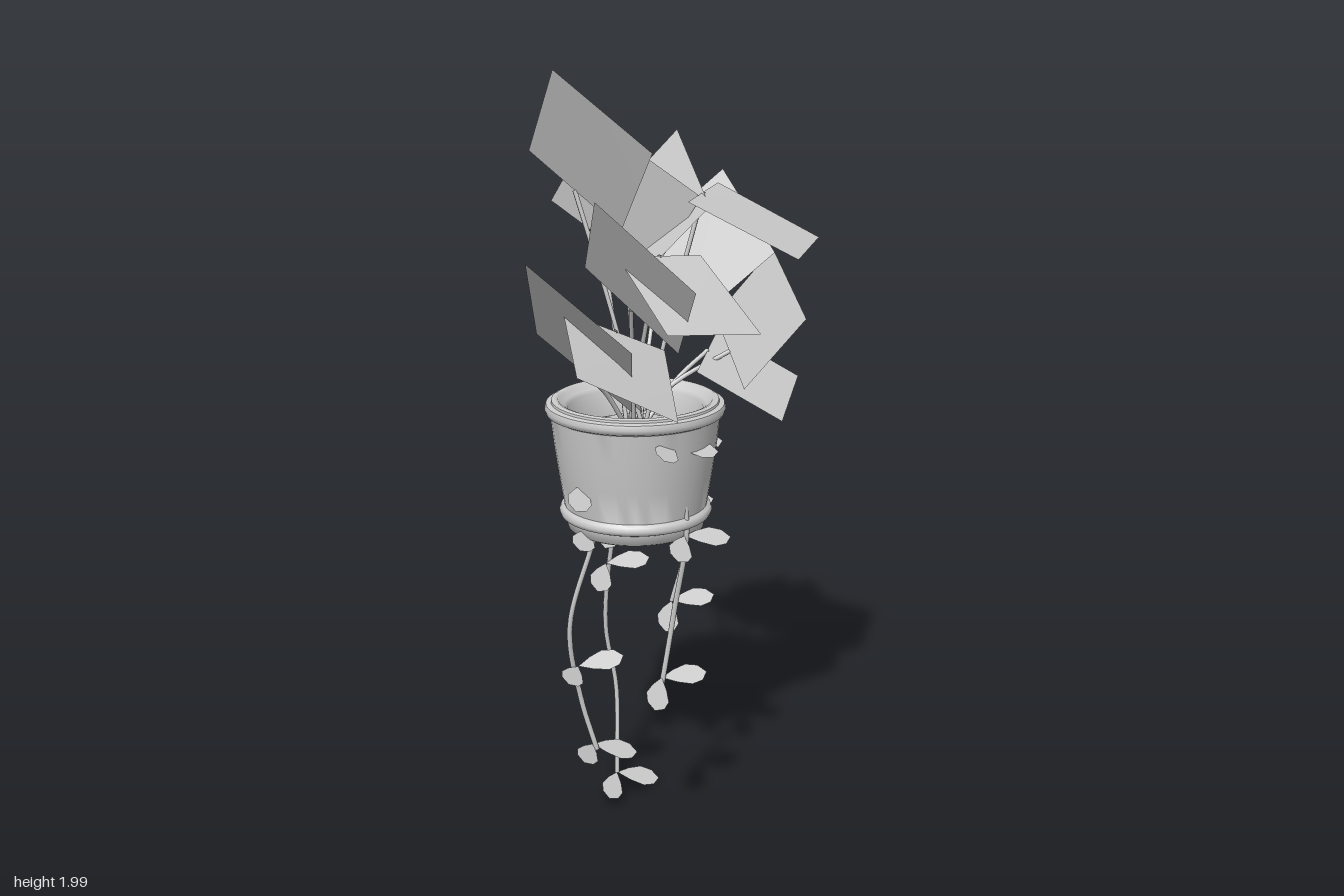
import * as THREE from 'three';
import { toCreasedNormals } from 'three/addons/utils/BufferGeometryUtils.js';

const V = (p) => new THREE.Vector3(...p);

export function createModel() {
  const model = new THREE.Group();
  const grey = new THREE.MeshStandardMaterial({ color: 0xcccccc, side: THREE.DoubleSide });
  grey.name = 'plain grey';

  function add(name, geometry, parent = model) {
    const mesh = new THREE.Mesh(geometry, grey);
    mesh.name = name;
    parent.add(mesh);
    return mesh;
  }

  function group(name) {
    const g = new THREE.Group();
    g.name = name;
    model.add(g);
    return g;
  }

  // Flat sheet from an outline of points, fanned from the first
  function sheet(points) {
    const index = [];
    for (let i = 1; i < points.length - 1; i++) index.push(0, i, i + 1);
    const g = new THREE.BufferGeometry().setFromPoints(points);
    g.setIndex(index);
    g.computeVertexNormals();
    return g;
  }

  function tube(points, radius, segments) {
    return new THREE.TubeGeometry(new THREE.CatmullRomCurve3(points), segments, radius, 6);
  }

  // Pot: tapered wall, rounded rim, foot ring and hollow underside
  const cx = -0.073, cz = 0.017;
  const profile = [
    [0, 0.895], [0.06, 0.892], [0.12, 0.88], [0.16, 0.862], [0.17, 0.855], [0.178, 0.86],
    [0.182, 0.885], [0.194, 0.89], [0.198, 0.9], [0.194, 0.911], [0.185, 0.917], [0.198, 1.0],
    [0.209, 1.08], [0.217, 1.155], [0.227, 1.16], [0.231, 1.172], [0.227, 1.184], [0.214, 1.187],
    [0.213, 1.193], [0.205, 1.197], [0.196, 1.194], [0.192, 1.186], [0.18, 1.18],
    [0.172, 1.17], [0.168, 1.08],
  ].map(([r, y]) => new THREE.Vector2(r, y));
  const pot = add('pot', toCreasedNormals(new THREE.LatheGeometry(profile, 48), 0.9));
  pot.position.set(cx, 0, cz);

  // Domed soil
  const dome = [[0.172, 1.09], [0.14, 1.112], [0.09, 1.128], [0.04, 1.136], [0, 1.138]];
  const soil = add('soil', new THREE.LatheGeometry(dome.map(([r, y]) => new THREE.Vector2(r, y)), 48));
  soil.position.set(cx, 0, cz);

  // Large leaves: tip corner, side corner, then the two corners of the stem edge
  const leaves = [
    [[-0.16, 2.0, 0.197], [0.087, 1.82, 0.12], [-0.08, 1.62, 0.055], [-0.325, 1.8, 0.13]],
    [[-0.05, 1.585, 0.395], [0.22, 1.41, 0.327], [0.045, 1.205, 0.15], [-0.214, 1.37, 0.22]],
    [[0.177, 1.37, 0.455], [0.262, 1.236, 0.22], [0.065, 1.345, 0.055], [-0.03, 1.465, 0.3]],
    [[0.07, 1.725, 0.29], [0.326, 1.545, 0.234], [0.17, 1.365, 0.12], [-0.085, 1.545, 0.175]],
    [[0.28, 1.45, 0.275], [0.324, 1.417, 0.005], [0.09, 1.567, -0.045], [0.05, 1.59, 0.2]],
    [[0.2, 1.586, -0.368], [0.33, 1.575, -0.12], [0.095, 1.7, 0.007], [-0.03, 1.714, -0.243]],
    [[-0.18, 1.873, 0.04], [0.06, 1.7, -0.08], [-0.09, 1.495, -0.06], [-0.33, 1.67, 0.055]],
    [[-0.15, 1.84, -0.22], [0.087, 1.68, -0.08], [-0.08, 1.49, -0.003], [-0.317, 1.65, -0.143]],
    [[-0.1, 1.735, -0.342], [0.13, 1.55, -0.28], [-0.04, 1.345, -0.12], [-0.27, 1.53, -0.18]],
    [[0.02, 1.533, -0.408], [0.278, 1.41, -0.225], [0.145, 1.222, -0.152], [-0.113, 1.345, -0.335]],
    [[0.08, 1.19, -0.455], [0.22, 1.14, -0.214], [0.04, 1.26, -0.09], [-0.1, 1.31, -0.33]],
  ];
  const foliage = group('foliage');
  leaves.forEach((corners, i) => {
    const p = corners.map(V);
    add('largeLeaf', sheet(p), foliage);
    // Stem bows outward from the soil to the middle of the leaf edge
    const end = p[2].clone().lerp(p[3], 0.5);
    const a = i * 2.4;
    const start = new THREE.Vector3(cx + 0.025 * Math.cos(a), 1.12, cz + 0.025 * Math.sin(a));
    const mid = start.clone().lerp(end, 0.5);
    mid.y += 0.02;
    add('stem', tube([start, mid, end], 0.006, 10), foliage);
  });

  // Small pointed leaf, growing from a vine node
  function smallLeaf(base, dir, parent) {
    const d = V(dir);
    const w = new THREE.Vector3(0.55, 0.83, 0).cross(d).normalize();
    const outline = [[0, 0], [0.3, 0.02], [0.6, 0.032], [0.85, 0.024], [1, 0], [0.85, -0.024], [0.6, -0.032], [0.3, -0.02]];
    const pts = outline.map(([t, s]) => base.clone().addScaledVector(d, t).addScaledVector(w, s));
    add('smallLeaf', sheet(pts), parent);
  }

  // Trailing vines: path points, and nodes with the drop of their front and back leaves
  const vines = [
    {
      path: [[-0.1, 1.12, 0.0], [-0.16, 0.98, -0.02], [-0.205, 0.84, -0.04], [-0.25, 0.5, -0.04], [-0.23, 0.3, -0.06], [-0.19, 0.06, -0.02]],
      nodes: [[-0.205, 0.83, -0.03, 0.045, 0.01], [-0.225, 0.69, -0.02, 0.03, 0], [-0.19, 0.06, -0.02, 0.01, 0.045]],
    },
    {
      path: [[-0.07, 1.12, 0.06], [-0.08, 0.98, 0.12], [-0.095, 0.84, 0.15], [-0.137, 0.6, 0.2], [-0.137, 0.38, 0.165], [-0.105, 0.23, 0.14]],
      nodes: [[-0.09, 1.0, 0.18, 0.03, 0.03], [-0.1, 0.87, 0.16, 0.01, 0.02], [-0.14, 0.475, 0.17, -0.01, -0.01], [-0.12, 0.24, 0.14, -0.015, 0.05]],
    },
    {
      path: [[-0.05, 1.12, -0.03], [-0.04, 0.98, -0.12], [-0.06, 0.85, -0.165], [-0.08, 0.7, -0.175], [-0.1, 0.575, -0.15]],
      nodes: [[-0.05, 1.06, -0.12, 0.02, 0.02], [-0.08, 0.88, -0.12, 0.03, 0.01], [-0.1, 0.575, -0.15, 0.035, 0]],
    },
    {
      path: [[-0.03, 1.12, 0.02], [0.08, 1.05, 0.03], [0.113, 0.9, 0.025], [0.075, 0.65, 0.03], [0.057, 0.41, 0.066]],
      nodes: [[0.1, 1.12, 0.07, 0.005, 0.035], [0.11, 0.87, 0.03, 0.02, 0.02], [0.06, 0.47, 0.06, 0.03, 0.005]],
    },
  ];
  vines.forEach(({ path, nodes }) => {
    const g = group('trailingVine');
    add('vineStem', tube(path.map(V), 0.007, 32), g);
    nodes.forEach(([x, y, z, frontDrop, backDrop]) => {
      const base = new THREE.Vector3(x, y, z);
      smallLeaf(base, [0.075, -frontDrop, 0.105], g);
      smallLeaf(base, [0.055, -backDrop, -0.115], g);
    });
  });

  return model;
}
